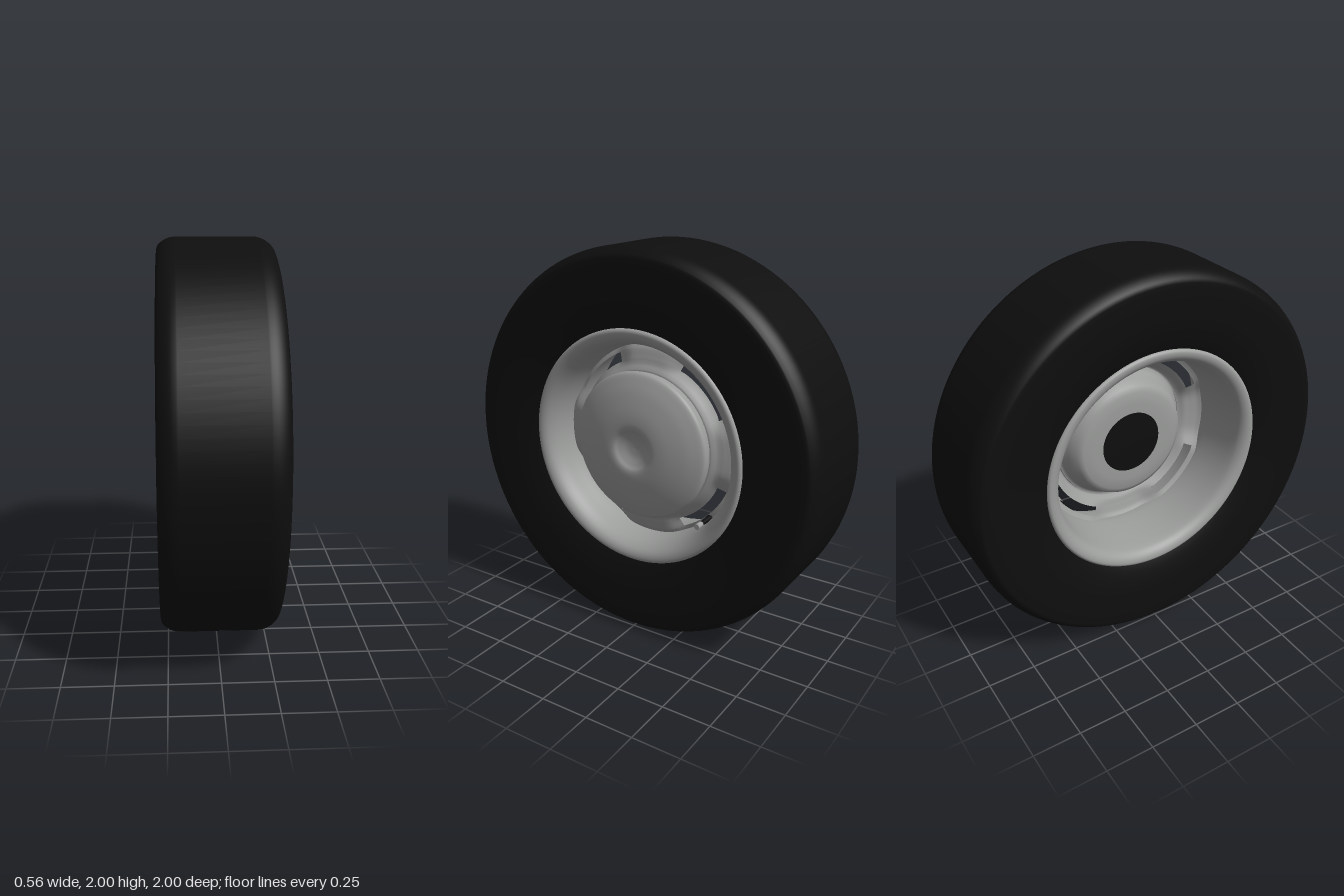
import * as THREE from 'three';
import { mergeVertices } from 'three/addons/utils/BufferGeometryUtils.js';

const rubber = new THREE.MeshStandardMaterial({ color: 0x0e0e0e });
rubber.name = 'black rubber';
const metal = new THREE.MeshStandardMaterial({ color: 0x9b9d9b, side: THREE.DoubleSide });
metal.name = 'grey metal';

const SEGMENTS = 120;

// Profiles are [radius, distance along the axle]
const points = (list) => list.map(([r, a]) => new THREE.Vector2(r, a));
const smooth = (list, n) => new THREE.SplineCurve(points(list)).getPoints(n);

export function createModel() {
  const model = new THREE.Group();
  const wheel = new THREE.Group();
  wheel.name = 'wheel';
  wheel.position.y = 1;
  wheel.rotation.z = -Math.PI / 2; // axle along x, outer face towards +x
  model.add(wheel);

  const add = (name, geometry, material) => {
    const mesh = new THREE.Mesh(geometry, material);
    mesh.name = name;
    wheel.add(mesh);
    return mesh;
  };

  // Tyre: sidewall, rounded shoulder and flat tread, mirrored, closed inside
  const half = [
    ...smooth([[0.6, 0.232], [0.65, 0.252], [0.74, 0.273], [0.85, 0.281], [0.945, 0.282]], 12),
    ...smooth([[0.958, 0.278], [0.974, 0.262], [0.988, 0.24], [0.997, 0.215], [1, 0.19]], 10),
  ];
  const lower = half.map((p) => new THREE.Vector2(p.x, -p.y));
  const tyre = [...lower, ...half.slice().reverse(), lower[0].clone()];
  add('tyre', new THREE.LatheGeometry(tyre, SEGMENTS), rubber);

  // Rim: rolled lips at both ends with a tapering barrel between them
  const rim = smooth([
    [0.597, -0.215], [0.61, -0.235], [0.597, -0.25], [0.57, -0.246], [0.546, -0.226],
    [0.531, -0.19], [0.516, -0.1], [0.504, 0], [0.502, 0.06], [0.512, 0.12],
    [0.525, 0.185], [0.546, 0.226], [0.57, 0.246], [0.597, 0.25], [0.61, 0.235], [0.597, 0.215],
  ], 80);
  add('rim', new THREE.LatheGeometry(rim, SEGMENTS), metal);

  add('wheelDisc', discGeometry(), metal);

  // Hub plate closing the centre bore
  const hub = add('hubPlate', new THREE.CylinderGeometry(0.168, 0.168, 0.008, 64), rubber);
  hub.position.y = 0.003;

  // Domed hub cap with a dished centre
  const cap = [
    ...points([[0.372, 0.12], [0.385, 0.165]]),
    ...smooth([
      [0.385, 0.178], [0.375, 0.192], [0.345, 0.207], [0.29, 0.228], [0.21, 0.248],
      [0.15, 0.256], [0.112, 0.254], [0.085, 0.24], [0.045, 0.226], [0, 0.222],
    ], 50),
  ];
  add('hubCap', new THREE.LatheGeometry(cap, SEGMENTS), metal);

  // Valve: rubber stem and metal tip
  const stem = add('valveStem', new THREE.CylinderGeometry(0.011, 0.016, 0.09, 16), rubber);
  stem.position.set(0.35, 0.115, -0.35);
  const tip = add('valveTip', new THREE.CylinderGeometry(0.015, 0.015, 0.042, 16), metal);
  tip.position.set(0.35, 0.181, -0.35);

  return model;
}

// Pressed disc with a raised crown, four spokes and four slots between them
function discGeometry() {
  const profile = points([
    [0.163, 0], [0.22, 0], [0.28, 0.004], [0.31, 0.02], [0.335, 0.07], [0.355, 0.115],
    [0.37, 0.13], [0.385, 0.125], [0.4, 0.105], [0.415, 0.085], [0.43, 0.072],
    [0.445, 0.065], [0.46, 0.06], [0.478, 0.056], [0.49, 0.05], [0.504, 0.04],
  ]);
  const geometry = new THREE.LatheGeometry(profile, SEGMENTS);
  const pos = geometry.attributes.position;
  const index = geometry.index.array;

  // Leave out the faces inside each slot
  const kept = [];
  for (let i = 0; i < index.length; i += 3) {
    const face = [index[i], index[i + 1], index[i + 2]];
    const column = Math.min(...face.map((v) => Math.floor(v / profile.length)));
    const row = Math.min(...face.map((v) => v % profile.length));
    const angle = ((column + 0.5) * 360 / SEGMENTS) % 90;
    const inSlot = row >= 10 && row < 13 && angle > 24 && angle < 66;
    if (!inSlot) kept.push(...face);
  }
  geometry.setIndex(kept);

  // Raise the spokes between the slots
  for (let i = 0; i < pos.count; i++) {
    const x = pos.getX(i), z = pos.getZ(i);
    const r = Math.hypot(x, z);
    const spoke = THREE.MathUtils.smoothstep(Math.cos(4 * Math.atan2(x, z)), -0.4, 0.7);
    const band = THREE.MathUtils.smoothstep(r, 0.38, 0.44);
    pos.setY(i, pos.getY(i) + 0.035 * spoke * band);
  }
  geometry.deleteAttribute('uv');
  geometry.deleteAttribute('normal');
  const merged = mergeVertices(geometry, 1e-4);
  merged.computeVertexNormals();
  return merged;
}
